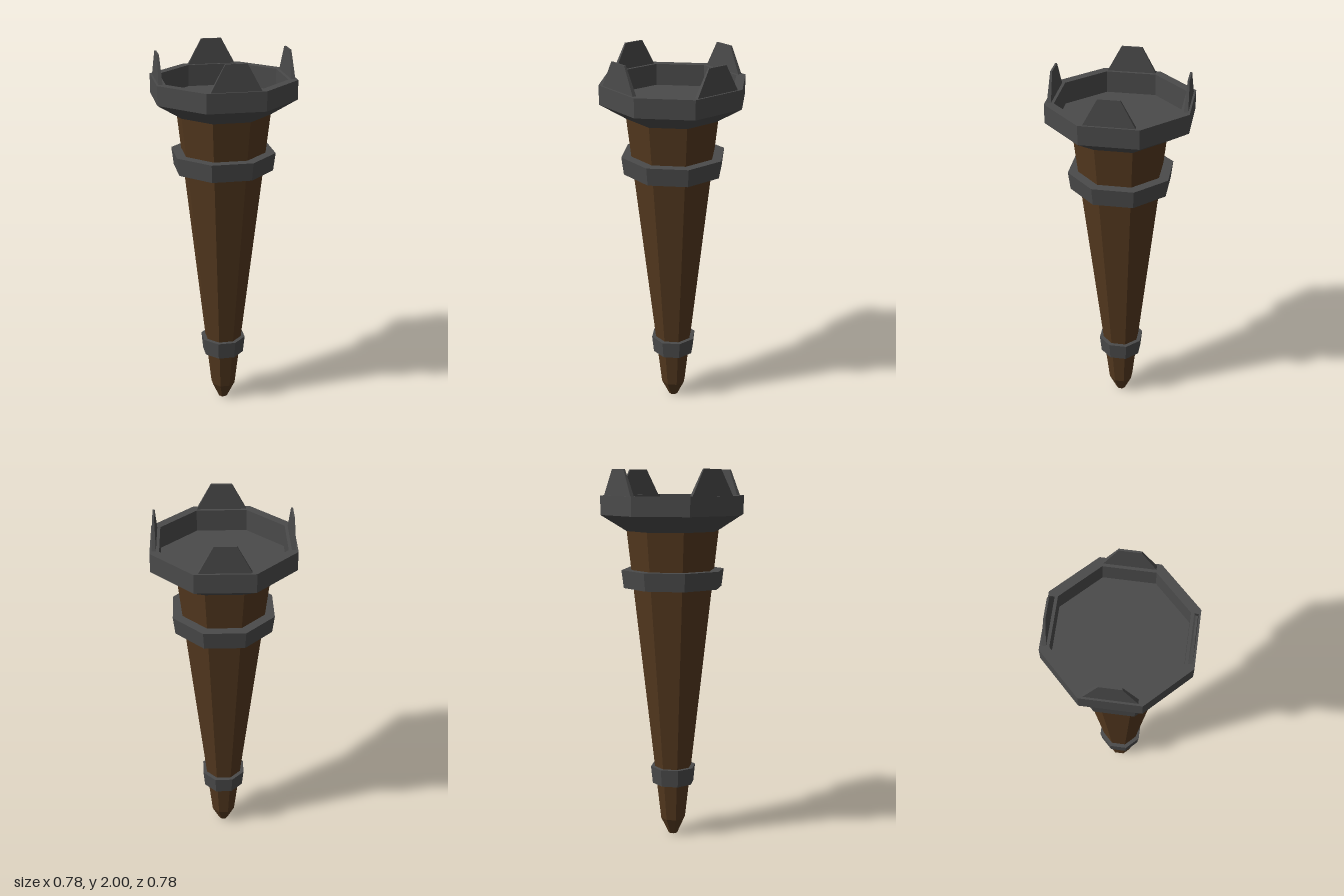
import * as THREE from 'three';

const SIDES = 8;

export function createModel() {
  const group = new THREE.Group();
  const wood = new THREE.MeshStandardMaterial({ name: 'wood', color: 0x54391f, flatShading: true });
  const iron = new THREE.MeshStandardMaterial({ name: 'darkIron', color: 0x4b4b4b, flatShading: true });

  // Octagonal solid from a profile of [radius, y], listed upwards along the outside
  const turned = (name, profile, material) => {
    const points = profile.map(([r, y]) => new THREE.Vector2(r, y));
    const mesh = new THREE.Mesh(new THREE.LatheGeometry(points, SIDES), material);
    mesh.name = name;
    group.add(mesh);
  };

  // Tapered shaft with a blunt tip
  turned('handle', [[0, 0], [0.025, 0], [0.068, 0.09], [0.25, 1.68], [0.25, 1.7]], wood);

  // Flared bands round the shaft
  turned('lowerBand', [[0.09, 0.295], [0.115, 0.295], [0.125, 0.39], [0.1, 0.39]], iron);
  turned('upperBand', [[0.2, 1.38], [0.268, 1.38], [0.28, 1.475], [0.22, 1.475]], iron);

  // Bowl: flared underside, upright rim and sunken floor
  turned('bowl', [
    [0, 1.68], [0.25, 1.68], [0.388, 1.765], [0.388, 1.865],
    [0.338, 1.865], [0.338, 1.75], [0, 1.75],
  ], iron);

  // Tapered prongs on every second side of the rim
  const base = 1.855, height = 2 - base;
  const prongShape = new THREE.BoxGeometry(0.264, height, 0.022);
  const pos = prongShape.attributes.position;
  for (let i = 0; i < pos.count; i++) {
    if (pos.getY(i) > 0) {
      pos.setX(i, pos.getX(i) * 0.41);
      pos.setZ(i, pos.getZ(i) * 0.45);
    }
  }
  prongShape.translate(0, base + height / 2, 0.338);
  prongShape.computeVertexNormals();
  for (let i = 0; i < 4; i++) {
    const prong = new THREE.Mesh(prongShape, iron);
    prong.name = 'prong' + (i + 1);
    prong.rotation.y = -Math.PI / 8 + i * Math.PI / 2;
    group.add(prong);
  }

  return group;
}
